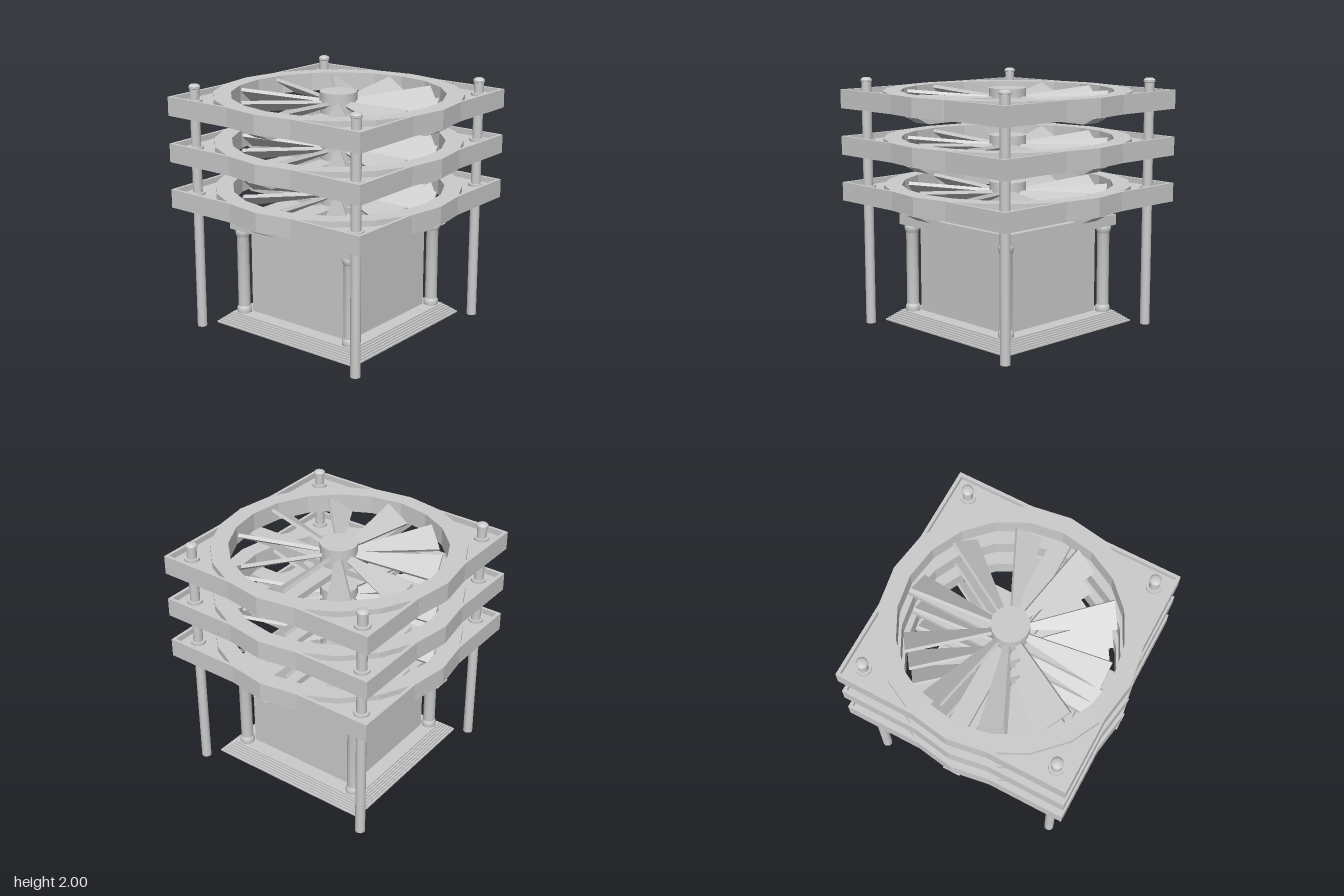
import * as THREE from 'three';
import { toCreasedNormals } from 'three/addons/utils/BufferGeometryUtils.js';

const material = new THREE.MeshStandardMaterial({ color: 0xcccccc });

function add(parent, name, geometry, x = 0, y = 0, z = 0) {
  const mesh = new THREE.Mesh(geometry, material);
  mesh.name = name;
  mesh.position.set(x, y, z);
  parent.add(mesh);
  return mesh;
}

// Revolved profile of [radius, y] points
function lathe(points, sides, crease = 0.5) {
  const profile = points.map(([r, y]) => new THREE.Vector2(r, y));
  return toCreasedNormals(new THREE.LatheGeometry(profile, sides), crease);
}

const squarePoints = h => [[-h, -h], [h, -h], [h, h], [-h, h]].map(([x, y]) => new THREE.Vector2(x, y));

const circlePoints = (r, sides) => Array.from({ length: sides }, (_, i) => {
  const a = i / sides * Math.PI * 2;
  return new THREE.Vector2(r * Math.cos(a), r * Math.sin(a));
});

// Horizontal slab with a hole, from y = bottom upward
function slabWithHole(outer, hole, bottom, height) {
  const shape = new THREE.Shape(outer);
  shape.holes.push(new THREE.Path(hole));
  return new THREE.ExtrudeGeometry(shape, { depth: height, bevelEnabled: false })
    .rotateX(-Math.PI / 2).translate(0, bottom, 0);
}

// Tapered, pitched blade pointing along +x
function bladeGeometry() {
  const inner = 0.1, outer = 0.79;
  const geometry = new THREE.BoxGeometry(outer - inner, 0.028, 0.226);
  geometry.translate((inner + outer) / 2, 0, 0);
  const pos = geometry.attributes.position;
  for (let i = 0; i < pos.count; i++) {
    if (pos.getX(i) < 0.4) pos.setZ(i, pos.getZ(i) * 0.18);
  }
  geometry.computeVertexNormals();
  return geometry.rotateX(THREE.MathUtils.degToRad(33));
}

// Support bar along x whose ends slope up to the rim
function barGeometry() {
  const shape = new THREE.Shape([[-0.885, -0.125], [0.885, -0.125], [0.985, -0.075], [-0.985, -0.075]]
    .map(([x, y]) => new THREE.Vector2(x, y)));
  return new THREE.ExtrudeGeometry(shape, { depth: 0.146, bevelEnabled: false }).translate(0, 0, -0.073);
}

const corners = [[1, 1], [1, -1], [-1, -1], [-1, 1]];

// One fan with its frame, centred on its mid height
function createFan() {
  const fan = new THREE.Group();
  fan.name = 'fan';
  add(fan, 'fanRing', lathe([[0.845, -0.075], [0.985, -0.075], [0.985, 0.075], [0.845, 0.075], [0.845, -0.075]], 20, 0.2));
  add(fan, 'squareRim', slabWithHole(squarePoints(0.936), squarePoints(0.91), -0.075, 0.15));
  add(fan, 'cornerPlates', slabWithHole(squarePoints(0.92), circlePoints(0.9, 20), -0.03, 0.06));
  for (const [sx, sz] of corners) {
    add(fan, 'postCollar', new THREE.CylinderGeometry(0.06, 0.06, 0.1, 20), 0.79 * sx, 0, 0.79 * sz);
  }
  const bar = barGeometry();
  add(fan, 'supportBar', bar);
  add(fan, 'supportBar', bar).rotation.y = Math.PI / 2;
  add(fan, 'hub', new THREE.CylinderGeometry(0.147, 0.147, 0.165, 20), 0, 0.0075, 0);
  const blade = bladeGeometry();
  for (let i = 0; i < 10; i++) {
    add(fan, 'blade', blade).rotation.y = (i + 0.5) * Math.PI / 5;
  }
  return fan;
}

export function createModel() {
  const model = new THREE.Group();
  model.name = 'fanTower';

  // Stepped base, body and roof slab
  const steps = 7, stepHeight = 0.088 / steps;
  for (let i = 0; i < steps; i++) {
    const width = 2 * (0.705 - i * 0.015);
    add(model, 'baseStep', new THREE.BoxGeometry(width, stepHeight, width), 0, 0.02 + (i + 0.5) * stepHeight, 0);
  }
  add(model, 'body', new THREE.BoxGeometry(0.994, 0.715, 0.994), 0, 0.4645, 0);
  add(model, 'roofSlab', new THREE.BoxGeometry(1.232, 0.085, 1.232), 0, 0.8625, 0);

  // Corner columns and tall posts
  const column = lathe([
    [0, 0.107], [0.058, 0.107], [0.06, 0.12], [0.06, 0.14], [0.055, 0.155], [0.049, 0.165],
    [0.049, 0.755], [0.056, 0.77], [0.06, 0.785], [0.06, 0.805], [0.055, 0.815], [0, 0.82]
  ], 24);
  const post = lathe([
    [0, 0], [0.039, 0], [0.039, 1.965], [0.046, 1.968], [0.046, 1.983], [0.038, 1.993], [0.025, 2], [0, 2]
  ], 20);
  for (const [sx, sz] of corners) {
    add(model, 'column', column, 0.545 * sx, 0, 0.545 * sz);
    add(model, 'post', post, 0.79 * sx, 0, 0.79 * sz);
  }

  // Three stacked fans
  for (let i = 0; i < 3; i++) {
    const fan = createFan();
    fan.position.y = 1.087 + i * 0.3715;
    model.add(fan);
  }
  return model;
}
